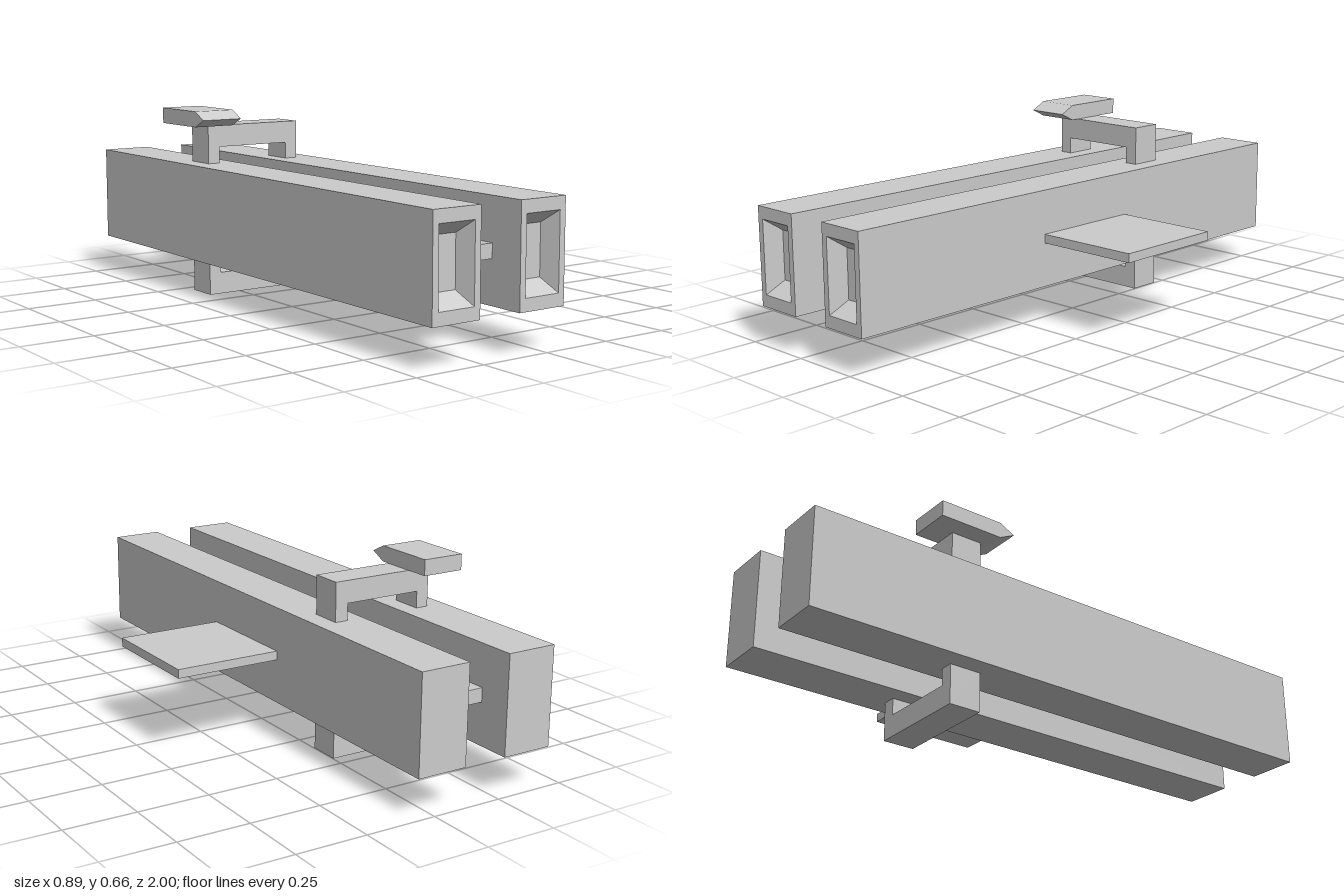
import * as THREE from 'three';

const material = new THREE.MeshStandardMaterial({ color: 0xcccccc, flatShading: true });

function addMesh(group, name, geometry) {
  const mesh = new THREE.Mesh(geometry, material);
  mesh.name = name;
  group.add(mesh);
  return mesh;
}

// Box given by its minimum and maximum corners
function addBox(group, name, min, max) {
  const size = max.map((v, i) => v - min[i]);
  const mesh = addMesh(group, name, new THREE.BoxGeometry(...size));
  mesh.position.set(...max.map((v, i) => (v + min[i]) / 2));
  return mesh;
}

// Extrude an outline of [x, y] points
function extrude(points, depth) {
  const shape = new THREE.Shape(points.map(([x, y]) => new THREE.Vector2(x, y)));
  return new THREE.ExtrudeGeometry(shape, { depth, bevelEnabled: false });
}

// Loft through rectangles [halfWidth, halfHeight, z], closed at both ends
function loftRectangles(sections) {
  const rings = sections.map(([w, h, z]) => [[-w, -h, z], [w, -h, z], [w, h, z], [-w, h, z]]);
  const positions = [];
  const quad = (a, b, c, d) => positions.push(...a, ...b, ...c, ...a, ...c, ...d);
  const first = rings[0], last = rings[rings.length - 1];
  quad(first[3], first[2], first[1], first[0]);
  for (let i = 0; i < rings.length - 1; i++) {
    for (let j = 0; j < 4; j++) {
      const k = (j + 1) % 4;
      quad(rings[i][j], rings[i][k], rings[i + 1][k], rings[i + 1][j]);
    }
  }
  quad(...last);
  const geometry = new THREE.BufferGeometry();
  geometry.setAttribute('position', new THREE.Float32BufferAttribute(positions, 3));
  geometry.computeVertexNormals();
  return geometry;
}

export function createModel() {
  const model = new THREE.Group();
  model.name = 'twinBeamAssembly';

  // Two long beams, each with a tapered pocket in the front end
  const beam = loftRectangles([
    [0.089, 0.1685, -1],
    [0.089, 0.1685, 1],
    [0.067, 0.1265, 1],
    [0.045, 0.084, 0.94],
  ]);
  addMesh(model, 'rightBeam', beam).position.set(-0.356, 0.3035, 0);
  addMesh(model, 'leftBeam', beam).position.set(-0.024, 0.3035, 0);

  // Web joining the beams, and the flat plate on the left side
  addBox(model, 'connectingWeb', [-0.267, 0.28, -0.88], [-0.113, 0.328, 0.875]);
  addBox(model, 'sidePlate', [0.065, 0.288, -0.205], [0.443, 0.319, 0.205]);

  // U-shaped brackets bridging the beams above and below
  const bracket = (name, outer, inner, leg) => {
    const points = [
      [-0.375, outer], [-0.003, outer], [-0.003, leg], [-0.05, leg],
      [-0.05, inner], [-0.33, inner], [-0.33, leg], [-0.375, leg],
    ];
    addMesh(model, name, extrude(points, 0.113)).position.z = -0.453;
  };
  bracket('upperBracket', 0.607, 0.53, 0.472);
  bracket('lowerBracket', 0, 0.077, 0.135);

  // Head block with a wedge-shaped nose, outlined in z and y
  const head = extrude([
    [-0.54, 0.607], [-0.31, 0.607], [-0.255, 0.634], [-0.31, 0.662], [-0.54, 0.662],
  ], 0.152);
  head.rotateY(-Math.PI / 2);
  addMesh(model, 'wedgeHead', head).position.x = -0.292;

  return model;
}
